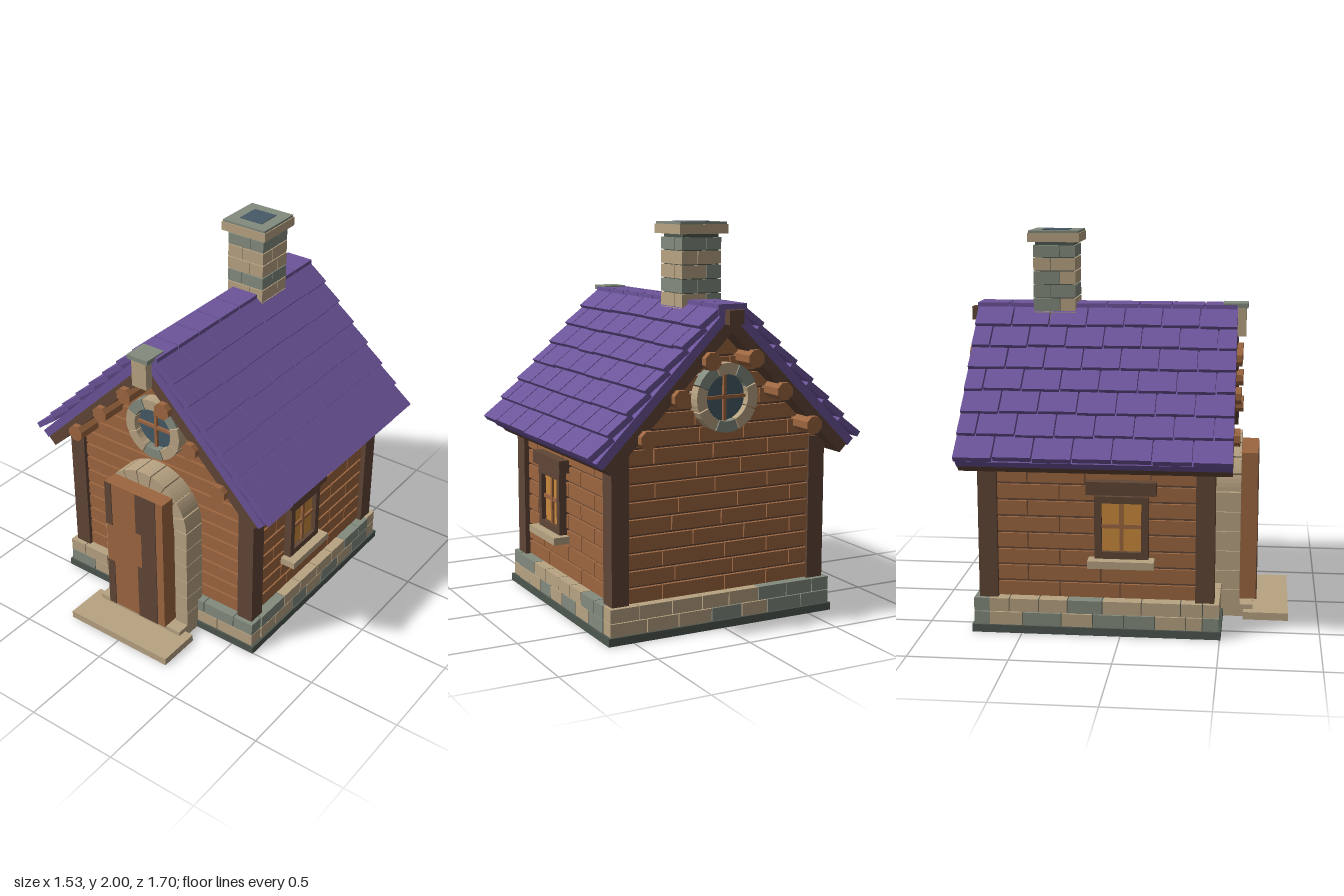
import * as THREE from 'three';

const mat = (name, color) => {
  const m = new THREE.MeshStandardMaterial({ color });
  m.name = name;
  return m;
};

export function createModel() {
  const model = new THREE.Group();
  model.name = 'cottage';
  const purple = mat('roof purple', 0x6c549a), wood = mat('plank wood', 0x9c6640);
  const dark = mat('dark timber', 0x604636), beige = mat('sandstone', 0xb8a382);
  const grey = mat('grey stone', 0x838b7e), slab = mat('dark stone', 0x4d564f);
  const blue = mat('dark glass', 0x465a66), amber = mat('lit glass', 0xcc8a3c);
  const ZC = -0.125; // middle of the house along z

  let seed = 7;
  const rnd = () => (seed = (seed * 16807) % 2147483647) / 2147483647;
  const group = (name, parent = model) => {
    const g = new THREE.Group();
    g.name = name;
    parent.add(g);
    return g;
  };
  const add = (parent, name, geo, m) => {
    const mesh = new THREE.Mesh(geo, m);
    mesh.name = name;
    parent.add(mesh);
    return mesh;
  };
  // box given by its lower and upper limits on each axis
  const box = (parent, name, m, x0, x1, y0, y1, z0, z1) => {
    const mesh = add(parent, name, new THREE.BoxGeometry(x1 - x0, y1 - y0, z1 - z0), m);
    mesh.position.set((x0 + x1) / 2, (y0 + y1) / 2, (z0 + z1) / 2);
    return mesh;
  };
  const prism = (parent, name, m, pts, z0, z1) => {
    const shape = new THREE.Shape(pts.map(p => new THREE.Vector2(p[0], p[1])));
    const mesh = add(parent, name, new THREE.ExtrudeGeometry(shape, { depth: z1 - z0, bevelEnabled: false }), m);
    mesh.position.z = z0;
    return mesh;
  };
  // one wedge of a stone ring
  const ringStone = (parent, m, r0, r1, a0, a1, cy, z0, z1) => {
    const s = new THREE.Shape();
    s.absarc(0, 0, r1, a0, a1, false);
    s.absarc(0, 0, r0, a1, a0, true);
    const mesh = add(parent, 'ringStone', new THREE.ExtrudeGeometry(s, { depth: z1 - z0, bevelEnabled: false, curveSegments: 2 }), m);
    mesh.position.set(0, cy, z0);
  };
  // cuts a length into uneven pieces
  const pieces = (a, b, size, offset, fn) => {
    let p = a, q = a + size * offset;
    while (p < b - 0.001) {
      if (b - q < size * 0.4) q = b;
      fn(p, q);
      p = q;
      q = p + size * (0.8 + 0.4 * rnd());
    }
  };

  // foundation with two courses of stones
  const base = group('foundation');
  box(base, 'baseSlab', slab, -0.635, 0.635, 0, 0.04, -0.755, 0.505);
  box(base, 'baseCore', slab, -0.61, 0.61, 0.04, 0.175, -0.73, 0.48);
  [[0.04, 0.106], [0.11, 0.178]].forEach(([y0, y1], i) => {
    const tone = () => (rnd() < 0.45 ? grey : beige);
    const off = i ? 0.6 : 1;
    for (const z of [-0.745, 0.415])
      pieces(-0.625, 0.625, 0.17, off, (a, b) => box(base, 'stone', tone(), a, b - 0.005, y0, y1, z, z + 0.08));
    for (const x of [-0.625, 0.545])
      pieces(-0.665, 0.415, 0.17, off, (a, b) => box(base, 'stone', tone(), x, x + 0.08, y0, y1, a, b - 0.005));
  });

  // house core behind the planks
  const walls = group('walls');
  prism(walls, 'wallCore', dark, [[-0.56, 0.17], [0.56, 0.17], [0.56, 0.9], [0, 1.47], [-0.56, 0.9]], -0.69, 0.43);

  // planks: staggered on sides and back, long on the front, trimmed under the roof
  const pitch = 0.0845;
  for (let r = 0; r < 15; r++) {
    const y0 = 0.183 + r * pitch, y1 = y0 + pitch - 0.013, off = r % 2 ? 0.5 : 0.95;
    const lim = y => Math.min(0.55, 1.475 - y);
    if (y1 < 0.97) {
      for (const x of [-0.575, 0.55])
        pieces(-0.65, 0.4, 0.36, off, (a, b) => box(walls, 'sidePlank', wood, x, x + 0.025, y0, y1, a, b - 0.006));
    }
    const w0 = lim(y0), w1 = lim(y1);
    prism(walls, 'frontPlank', wood, [[-w0, y0], [w0, y0], [w1, y1], [-w1, y1]], 0.425, 0.45);
    pieces(-w0, w0, 0.3, off, (a, b) => {
      const fit = v => Math.max(-w1, Math.min(w1, v));
      prism(walls, 'backPlank', wood, [[a, y0], [b - 0.006, y0], [fit(b - 0.006), y1], [fit(a), y1]], -0.71, -0.685);
    });
  }
  // corner posts
  for (const s of [-1, 1])
    for (const z of [-0.72, 0.375])
      box(walls, 'cornerPost', dark, s * 0.555 - 0.046, s * 0.555 + 0.046, 0.178, 0.92, z, z + 0.095);

  // roof: one slope pitched at 45 degrees, turned round for the other side
  const roof = group('roof');
  for (const turn of [0, Math.PI]) {
    const side = group('roofSide', roof);
    side.position.set(0, 1.56, ZC);
    side.rotation.y = turn;
    const slope = group('slope', side);
    slope.rotation.z = -Math.PI / 4;
    box(slope, 'rafterBoard', dark, 0.02, 0.96, -0.057, 0, -0.68, 0.68);
    box(slope, 'roofDeck', purple, 0, 0.97, 0, 0.045, -0.68, 0.68);
    const step = 0.137, w = 1.37 / 7;
    for (let r = 0; r < 7; r++) {
      const u = 0.018 + r * step;
      for (let k = 0; k < (r % 2 ? 8 : 7); k++) {
        const a = Math.max(-0.685, -0.685 + (k - (r % 2 ? 0.5 : 0)) * w);
        const b = Math.min(0.685, -0.685 + (k + (r % 2 ? 0.5 : 1)) * w);
        const tile = box(slope, 'tile', purple, u - 0.012, u + step + 0.003, 0.054, 0.084, a + 0.004, b - 0.004);
        tile.rotation.z = 0.14;
        tile.position.y += 0.004;
        tile.position.x += (rnd() - 0.5) * 0.008;
      }
    }
  }
  for (let k = 0; k < 8; k++) {
    const z = -0.81 + k * 0.171;
    box(roof, 'ridgeTile', purple, -0.078, 0.078, 1.56, 1.617, z, z + 0.165);
  }
  box(roof, 'ridgeBeam', dark, -0.04, 0.04, 1.52, 1.59, -0.85, 0.5);
  box(roof, 'gableKeystone', beige, -0.045, 0.045, 1.45, 1.6, 0.52, 0.6);
  box(roof, 'gableCap', grey, -0.063, 0.063, 1.6, 1.624, 0.48, 0.61);
  // purlin logs poking out of both gables
  for (const s of [-1, 1])
    for (const [x, y] of [[0.46, 1.0], [0.285, 1.18], [0.12, 1.35]]) {
      const log = add(roof, 'purlin', new THREE.CylinderGeometry(0.046, 0.046, 1.425, 8).rotateY(Math.PI / 8).rotateX(Math.PI / 2), wood);
      log.material.flatShading = false;
      log.geometry = log.geometry.toNonIndexed();
      log.geometry.computeVertexNormals();
      log.position.set(s * x, y, -0.1275);
    }

  // chimney built of pinwheel courses
  const chimney = group('chimney');
  chimney.position.z = -0.397;
  box(chimney, 'flue', slab, -0.1, 0.1, 1.4, 1.94, -0.1, 0.1);
  const ys = [1.5, 1.58, 1.65, 1.72, 1.79, 1.86, 1.925];
  for (let c = 0; c < 6; c++)
    for (let q = 0; q < 4; q++) {
      const turn = group('course', chimney);
      turn.rotation.y = (q * Math.PI) / 2;
      const m = c === 2 || c === 5 || (q === 3 && c % 2) ? grey : beige;
      const d = c % 2 ? 0.08 : 0.13;
      box(turn, 'stone', m, -0.11, 0.107 - d, ys[c], ys[c + 1] - 0.005, 0.11 - d, 0.11);
    }
  box(chimney, 'capStone', beige, -0.135, 0.135, 1.938, 1.985, -0.135, 0.135);
  box(chimney, 'capTop', grey, -0.13, 0.13, 1.985, 1.997, -0.13, 0.13);
  box(chimney, 'flueOpening', blue, -0.068, 0.068, 1.995, 2, -0.068, 0.068);

  // round gable windows, front and back
  for (const [z, turn] of [[0.45, 0], [-0.71, Math.PI]]) {
    const win = group('roundWindow');
    win.position.z = z;
    win.rotation.y = turn;
    const glass = add(win, 'glass', new THREE.CylinderGeometry(0.12, 0.12, 0.03, 16).rotateX(Math.PI / 2), blue);
    glass.position.set(0, 1.16, 0.005);
    for (let k = 0; k < 8; k++) {
      const a = ((k - 0.5) * Math.PI) / 4;
      ringStone(win, k % 2 && k < 5 || k === 6 ? grey : beige, 0.115, 0.17, a + 0.02, a + Math.PI / 4 - 0.02, 1.16, -0.02, 0.06);
    }
    box(win, 'glazingBar', wood, -0.008, 0.008, 1.04, 1.28, 0.015, 0.035);
    box(win, 'glazingBar', wood, -0.12, 0.12, 1.152, 1.168, 0.015, 0.034);
  }

  // lit windows on both sides
  for (const s of [-1, 1]) {
    const win = group('sideWindow');
    const part = (name, m, d0, d1, y0, y1, z0, z1) =>
      box(win, name, m, Math.min(s * d0, s * d1), Math.max(s * d0, s * d1), y0, y1, z0, z1);
    part('glass', amber, 0.56, 0.59, 0.42, 0.7, -0.11, 0.11);
    part('frame', dark, 0.56, 0.615, 0.4, 0.435, -0.13, 0.14);
    part('frame', dark, 0.56, 0.615, 0.685, 0.72, -0.13, 0.14);
    part('frame', dark, 0.56, 0.615, 0.435, 0.685, -0.13, -0.095);
    part('frame', dark, 0.56, 0.615, 0.435, 0.685, 0.105, 0.14);
    part('glazingBar', wood, 0.57, 0.602, 0.435, 0.685, -0.006, 0.014);
    part('glazingBar', wood, 0.57, 0.6, 0.554, 0.574, -0.095, 0.105);
    part('lintel', dark, 0.56, 0.63, 0.73, 0.797, -0.17, 0.18);
    part('sill', beige, 0.56, 0.66, 0.36, 0.398, -0.162, 0.17);
  }

  // doorway: jambs, arch, door and steps
  const door = group('doorway');
  for (const s of [-1, 1])
    for (let k = 0; k < 6; k++) {
      const y = 0.04 + k * 0.105, x = s * 0.231;
      box(door, 'jambStone', beige, x - 0.039, x + 0.039, y, y + 0.102, 0.46, 0.59);
    }
  for (let k = 0; k < 9; k++) {
    const a = (k * Math.PI) / 9;
    ringStone(door, beige, 0.19, 0.27, a + 0.012, a + Math.PI / 9 - 0.012, 0.67, 0.46, 0.59);
  }
  box(door, 'doorPanel', wood, -0.19, 0.185, 0.07, 0.862, 0.46, 0.676);
  for (const [x0, x1, y0, y1] of [[-0.19, -0.145, 0.07, 0.36], [-0.19, -0.148, 0.6, 0.862],
    [0.01, 0.14, 0.62, 0.862], [0.045, 0.14, 0.4, 0.62], [0.015, 0.14, 0.07, 0.4]])
    box(door, 'doorStain', dark, x0, x1, y0, y1, 0.674, 0.68);
  box(door, 'threshold', beige, -0.27, 0.27, 0.0, 0.065, 0.5, 0.66);
  box(door, 'doorStep', beige, -0.32, 0.32, 0, 0.04, 0.61, 0.845);

  return model;
}
